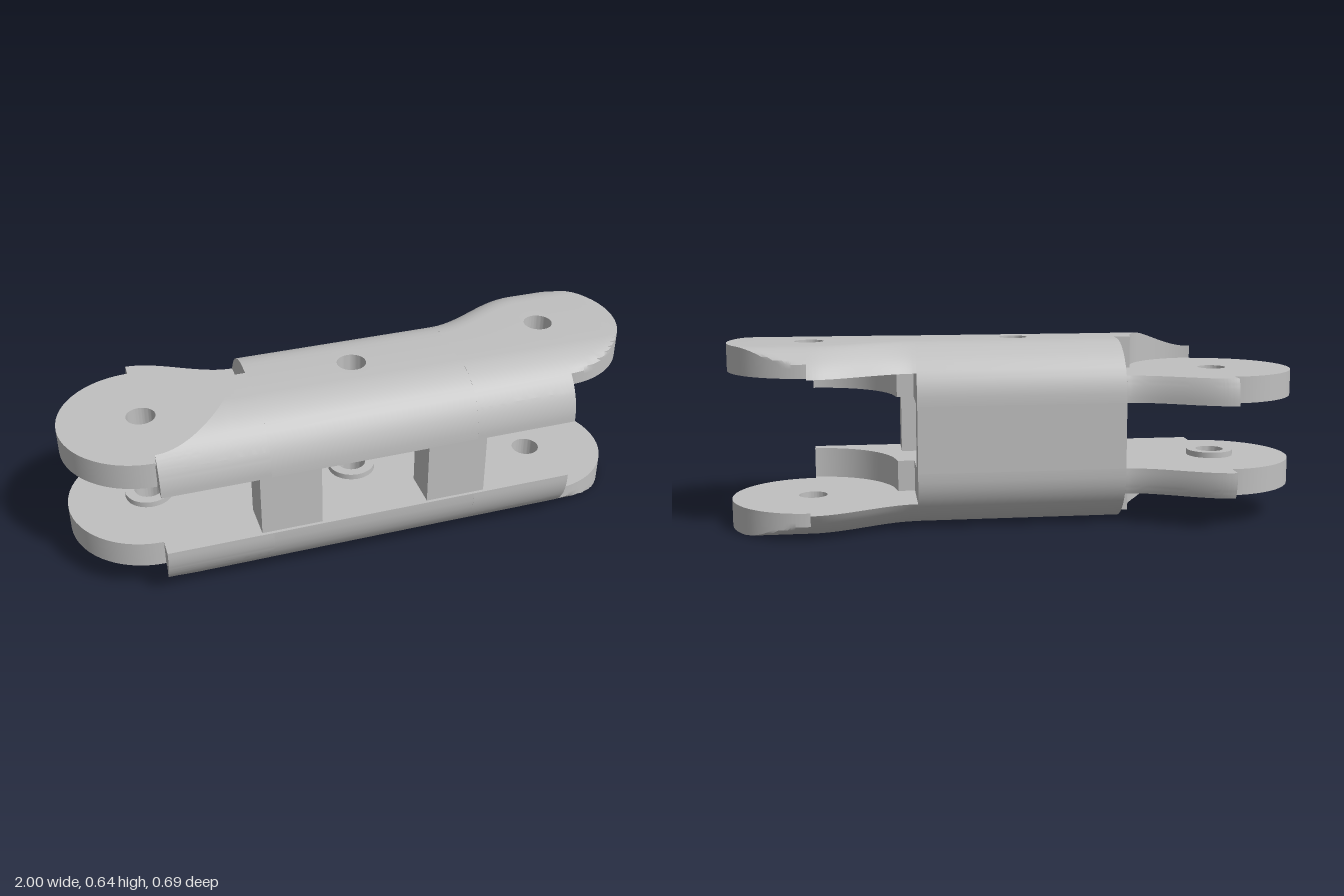
import * as THREE from 'three';
import { toCreasedNormals } from 'three/addons/utils/BufferGeometryUtils.js';

const H = 0.64, R = 0.19, YC = 0.45, ZC = 0.155;    // overall height, edge rounding and its centre
const PIVOT = 0.72, HOLE = 0.05;                    // pivot distance and hole radius
const Y0 = 0.435, Y1 = 0.527, Y2 = 0.545;           // plate underside, inner lug top, outer lug underside

const angleAt = (y) => Math.asin(THREE.MathUtils.clamp((y - YC) / R, -1, 1));
const envelope = (t) => ZC + R * Math.cos(Math.max(t, 0));
// the back edge steps inward along the waist
const waist = (x) => 0.125 * (1 - THREE.MathUtils.smoothstep(Math.abs(x), 0.36, PIVOT));
const arc = (r, cx) => (x) => Math.sqrt(Math.max(0, r * r - (x - cx) ** 2));
const neg = (f) => (x) => -f(x);
const shift = (f, d) => (x) => f(x) + d;
const back = () => -9, front = () => 9;

// Solid between z = lo(x) and z = hi(x), trimmed by the rounded envelope
function loft(out, x0, x1, lo, hi, y0, y1, steps = 18, levels = 10) {
  if (x1 - x0 < 1e-4) return;
  const rings = [];
  for (let i = 0; i <= steps; i++) {
    const x = x0 + (x1 - x0) * (0.5 - 0.5 * Math.cos((Math.PI * i) / steps));
    const l = lo(x), h = hi(x);
    const top = l > ZC ? Math.min(y1, YC + R * Math.sqrt(Math.max(0, 1 - ((l - ZC) / R) ** 2))) : y1;
    const tA = angleAt(y0), tB = angleAt(top);
    const b = [], f = [];
    for (let k = 0; k <= levels; k++) {
      const t = tA + ((tB - tA) * k) / levels;
      const y = YC + R * Math.sin(t), e = envelope(t);
      b.push([x, y, Math.max(l, -e + waist(x))]);
      f.push([x, y, Math.min(h, e)]);
    }
    rings.push([...b, ...f.reverse()]);
  }
  const quad = (a, b, c, d) => out.push(a, b, c, a, c, d);
  const m = 2 * levels + 2;
  for (let i = 0; i < steps; i++) {
    for (let j = 0; j < m; j++) {
      const n = (j + 1) % m;
      quad(rings[i][j], rings[i][n], rings[i + 1][n], rings[i + 1][j]);
    }
  }
  const A = rings[0], B = rings[steps];
  for (let k = 0; k < levels; k++) {
    quad(B[k], B[k + 1], B[m - 2 - k], B[m - 1 - k]);
    quad(A[k], A[m - 1 - k], A[m - 2 - k], A[k + 1]);
  }
}

// Loft with a round vertical hole at (hx, hz)
function drilled(out, x0, x1, lo, hi, y0, y1, hx, hz) {
  const a = Math.max(x0, hx - HOLE), b = Math.min(x1, hx + HOLE);
  const c = arc(HOLE, hx);
  loft(out, x0, a, lo, hi, y0, y1);
  loft(out, a, b, lo, shift(neg(c), hz), y0, y1);
  loft(out, a, b, shift(c, hz), hi, y0, y1);
  loft(out, b, x1, lo, hi, y0, y1);
}

function plateGeometry(lower) {
  const pts = [];
  // central slab
  drilled(pts, -0.36, 0.36, back, front, Y0, H, 0, 0.06);
  // inner lug on one end, outer lug on the other
  const cL = arc(0.28, -PIVOT), cR = arc(0.28, PIVOT);
  drilled(pts, -1, -PIVOT, neg(cL), cL, Y0, Y1, -PIVOT, 0);
  drilled(pts, -PIVOT, -0.36, back, front, Y0, Y1, -PIVOT, 0);
  drilled(pts, PIVOT, 1, neg(cR), cR, Y2, H, PIVOT, 0);
  drilled(pts, 0.36, PIVOT, back, front, Y2, H, PIVOT, 0);
  // front lips left standing around the round clearances
  const clear = (cx) => (x) => Math.max(0.018, arc(0.3, cx)(x));
  loft(pts, -PIVOT, -0.36, clear(-PIVOT), front, Y1, H, 30);
  loft(pts, 0.36, PIVOT, clear(PIVOT), front, Y0, Y2, 30);

  const pos = [];
  for (let i = 0; i < pts.length; i += 3) {
    const tri = lower ? [pts[i], pts[i + 2], pts[i + 1]] : [pts[i], pts[i + 1], pts[i + 2]];
    for (const [x, y, z] of tri) pos.push(x, lower ? H - y : y, z);
  }
  const g = new THREE.BufferGeometry();
  g.setAttribute('position', new THREE.Float32BufferAttribute(pos, 3));
  return toCreasedNormals(g, 0.6);
}

export function createModel() {
  const model = new THREE.Group();
  model.name = 'hingeLink';
  const grey = new THREE.MeshStandardMaterial({ color: 0xc0c0c0 });
  grey.name = 'light grey';
  const add = (name, geometry, x = 0, y = 0, z = 0) => {
    const mesh = new THREE.Mesh(geometry, grey);
    mesh.name = name;
    mesh.position.set(x, y, z);
    model.add(mesh);
  };

  add('upperPlate', plateGeometry(false));
  add('lowerPlate', plateGeometry(true));

  // wall and posts joining the plates
  const gap = 2 * Y0 - H;
  add('backWall', new THREE.BoxGeometry(0.72, gap, 0.095), 0, H / 2, -0.1725);
  for (const s of [-1, 1]) {
    add('frontPost', new THREE.BoxGeometry(0.21, gap, 0.133), s * 0.293, H / 2, 0.2675);
  }

  // raised rings around the holes, on the inner faces
  const profile = [[HOLE, -0.01], [0.083, -0.01], [0.083, 0.01], [HOLE, 0.01], [HOLE, -0.01]]
    .map(([r, y]) => new THREE.Vector2(r, y));
  const ring = toCreasedNormals(new THREE.LatheGeometry(profile, 40), 0.6);
  for (const [x, z] of [[-PIVOT, 0], [0, 0.06]]) {
    add('upperBoss', ring, x, Y0 - 0.01, z);
    add('lowerBoss', ring, x, H - Y0 + 0.01, z);
  }
  return model;
}
